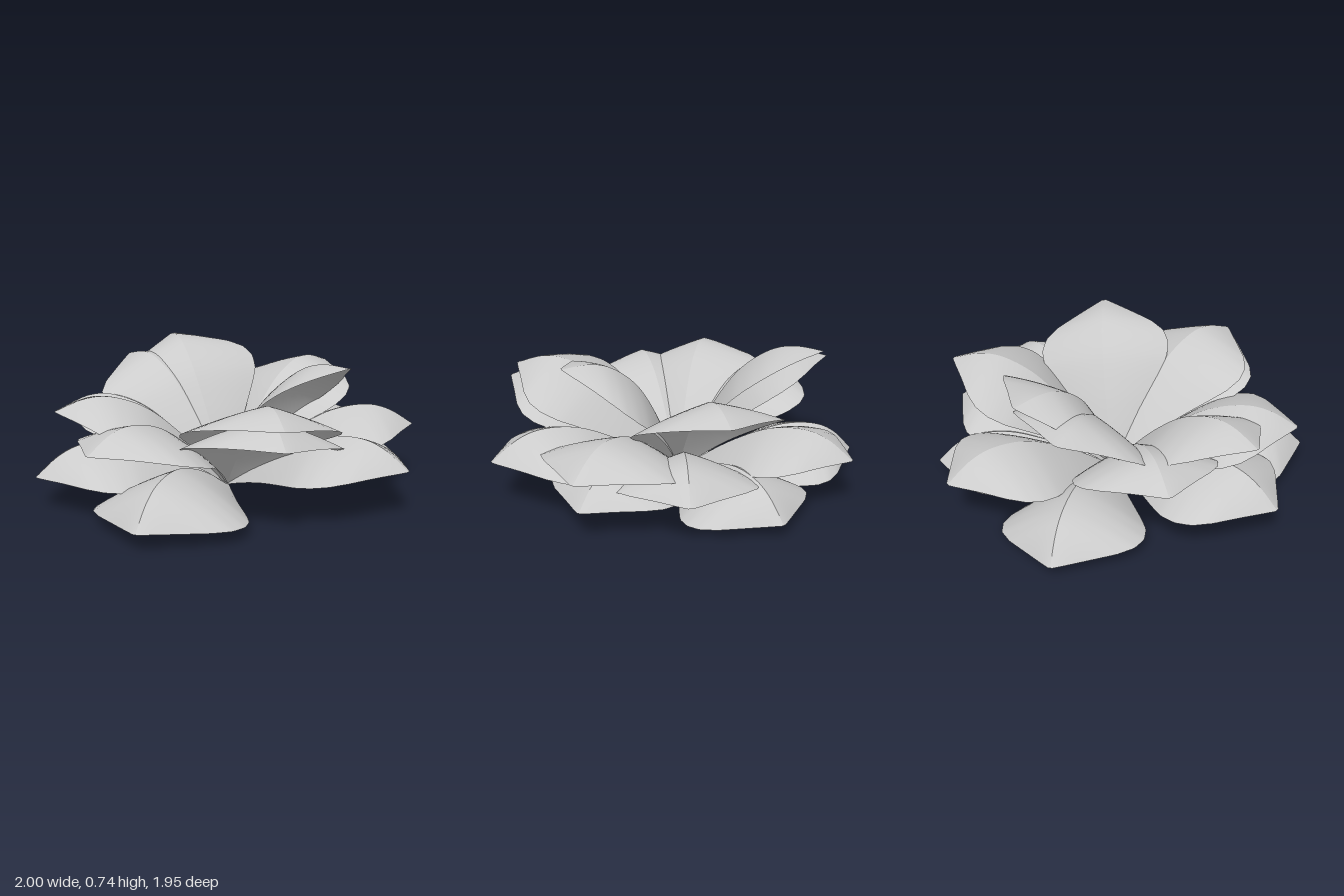
import * as THREE from 'three';

// Half-outline of a petal: [distance along, half width], for a petal of length 1
const OUTLINE = [[0, 0.01], [0.3, 0.18], [0.5, 0.305], [0.59, 0.355], [0.68, 0.37], [0.76, 0.345], [0.83, 0.275], [0.97, 0.06], [1, 0.012]];

// Midrib: rise above the straight line from base to tip
const MIDRIB = new THREE.SplineCurve(
  [[0, 0], [0.2, 0.09], [0.4, 0.16], [0.6, 0.2], [0.78, 0.18], [0.9, 0.115], [1, 0]]
    .map(([t, h]) => new THREE.Vector2(t, h)));

// Rings of petals: tip positions [x, y, z, roll], and how much of the midrib's rise the edges keep
const RINGS = {
  innerPetal: {
    edgeRise: 0.4,
    tips: [[0.58, 0.7, 0.32, -0.17], [-0.3, 0.72, -0.71, -0.25], [0.6, 0.57, -0.63], [-0.55, 0.62, -0.63, -0.2], [0.18, 0.54, 0.92, -0.08]],
  },
  middlePetal: {
    edgeRise: 0.35,
    tips: [[0.18, 0.46, 0.97, -0.08], [-0.9, 0.49, 0.27, -0.1], [-0.9, 0.4, -0.24], [-0.71, 0.38, 0.7], [1.0, 0.32, -0.03], [-0.06, 0.25, -0.98]],
  },
  lowerPetal: {
    edgeRise: 0.22,
    tips: [[0.83, 0.24, 0.59], [0.78, 0.23, -0.52], [0.92, 0.14, 0], [-1.0, 0.17, 0.34]],
  },
  outerPetal: {
    edgeRise: 0,
    tips: [[-0.49, 0.09, 0.95], [-0.68, 0.06, -0.75, 0.08], [0.43, 0.07, -0.83, 0.05]],
  },
};
const BASE = new THREE.Vector3(-0.02, 0, 0);

function halfWidth(t) {
  let i = 1;
  while (i < OUTLINE.length - 1 && t > OUTLINE[i][0]) i++;
  const [t0, w0] = OUTLINE[i - 1], [t1, w1] = OUTLINE[i];
  return THREE.MathUtils.mapLinear(THREE.MathUtils.clamp(t, t0, t1), t0, t1, w0, w1);
}

// One petal: two curved halves drooping from a creased midrib, along +x with y up
function petalGeometry(edgeRise) {
  const rows = 40, cols = 6, pos = [], index = [];
  for (const side of [1, -1]) {
    const start = pos.length / 3;
    for (let r = 0; r <= rows; r++) {
      const p = MIDRIB.getPoint(r / rows);
      const fall = 1 - edgeRise * (1.67 - p.x); // flatter towards the base
      for (let c = 0; c <= cols; c++) {
        const s = c / cols;
        const droop = fall * (0.7 * s + 0.3 * s * s);
        pos.push(p.x, p.y * (1 - droop), side * s * halfWidth(p.x));
      }
    }
    for (let r = 0; r < rows; r++) {
      for (let c = 0; c < cols; c++) {
        const a = start + r * (cols + 1) + c, b = a + cols + 1;
        if (side > 0) index.push(a, a + 1, b, b, a + 1, b + 1);
        else index.push(a, b, a + 1, b, b + 1, a + 1);
      }
    }
  }
  const g = new THREE.BufferGeometry();
  g.setAttribute('position', new THREE.Float32BufferAttribute(pos, 3));
  g.setIndex(index);
  g.computeVertexNormals();
  return g;
}

export function createModel() {
  const flower = new THREE.Group();
  flower.name = 'flower';
  const material = new THREE.MeshStandardMaterial({ color: 0xcccccc, side: THREE.DoubleSide });

  for (const [name, { edgeRise, tips }] of Object.entries(RINGS)) {
    const ring = new THREE.Group();
    ring.name = name + 'Ring';
    const geometry = petalGeometry(edgeRise);
    for (const [x, y, z, roll = 0] of tips) {
      // Aim the petal from the shared base to its tip, midrib upward
      const along = new THREE.Vector3(x, y, z).sub(BASE);
      const length = along.length();
      along.normalize();
      const across = new THREE.Vector3(-along.z, 0, along.x).normalize();
      const up = new THREE.Vector3().crossVectors(across, along);
      const petal = new THREE.Mesh(geometry, material);
      petal.name = name;
      petal.quaternion.setFromRotationMatrix(new THREE.Matrix4().makeBasis(along, up, across));
      petal.rotateX(roll);
      petal.position.copy(BASE);
      petal.scale.setScalar(length);
      ring.add(petal);
    }
    flower.add(ring);
  }
  return flower;
}
